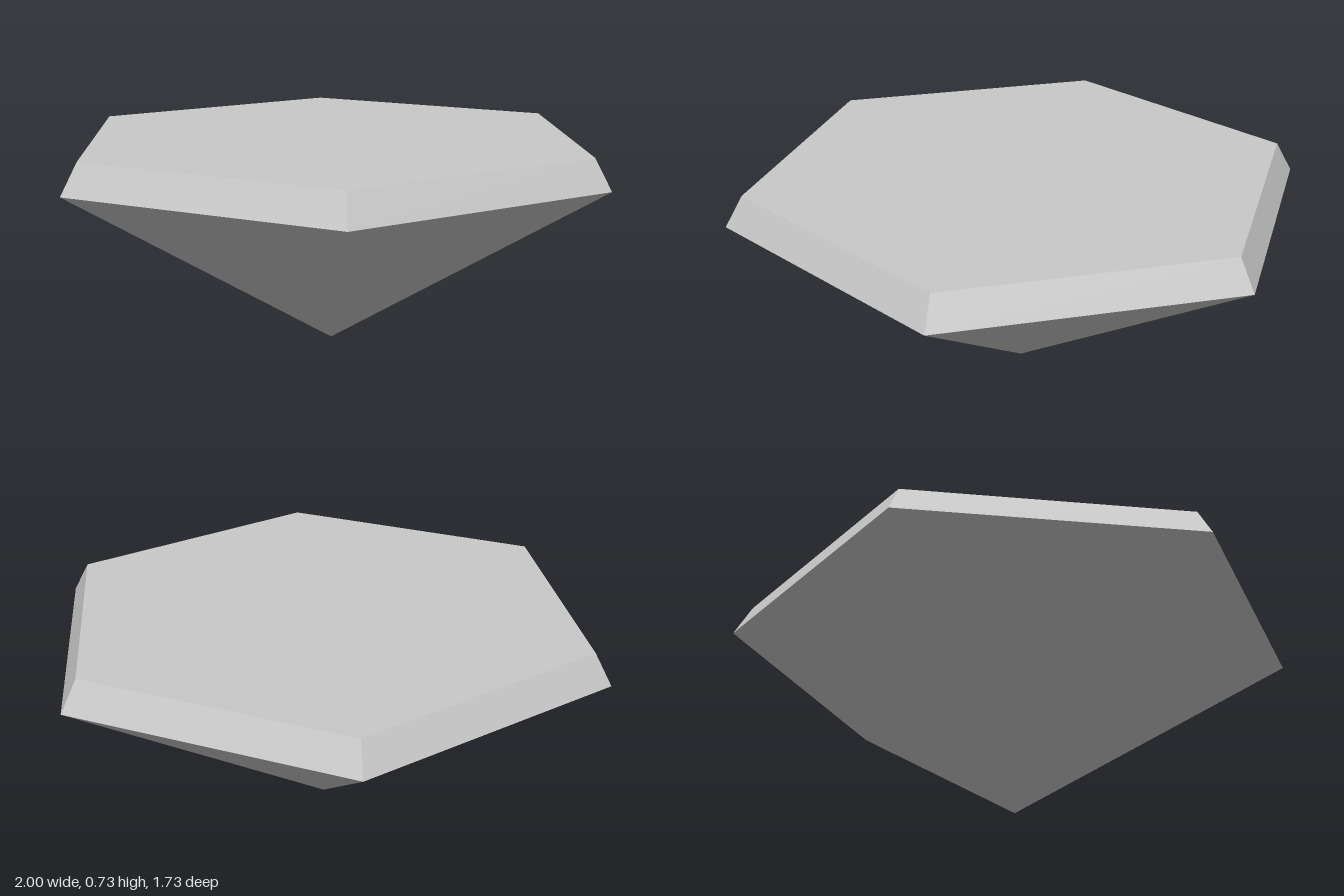
import * as THREE from 'three';

// Six-sided cut gem: a pointed pavilion, a bevelled crown and a flat table.
const SIDES = 6;
const GIRDLE_RADIUS = 1, GIRDLE_Y = 0.625;
const TABLE_RADIUS = 0.94, TABLE_Y = 0.73;

export function createModel() {
  const gem = new THREE.Group();
  gem.name = 'gem';
  const stone = new THREE.MeshStandardMaterial({ color: 0xc8c8c8, flatShading: true });
  stone.name = 'pale grey stone';

  const addPart = (name, geometry, y) => {
    const mesh = new THREE.Mesh(geometry, stone);
    mesh.name = name;
    mesh.position.y = y;
    gem.add(mesh);
  };

  // A ring of flat facets with corners on the x axis
  const facets = (top, bottom, height) =>
    new THREE.CylinderGeometry(top, bottom, height, SIDES, 1, true, Math.PI / SIDES);

  // Lower point
  addPart('pavilion', facets(GIRDLE_RADIUS, 0, GIRDLE_Y), GIRDLE_Y / 2);

  // Bevelled rim
  addPart('crown', facets(TABLE_RADIUS, GIRDLE_RADIUS, TABLE_Y - GIRDLE_Y), (TABLE_Y + GIRDLE_Y) / 2);

  // Flat top face
  addPart('table', new THREE.CircleGeometry(TABLE_RADIUS, SIDES).rotateX(-Math.PI / 2), TABLE_Y);

  return gem;
}
